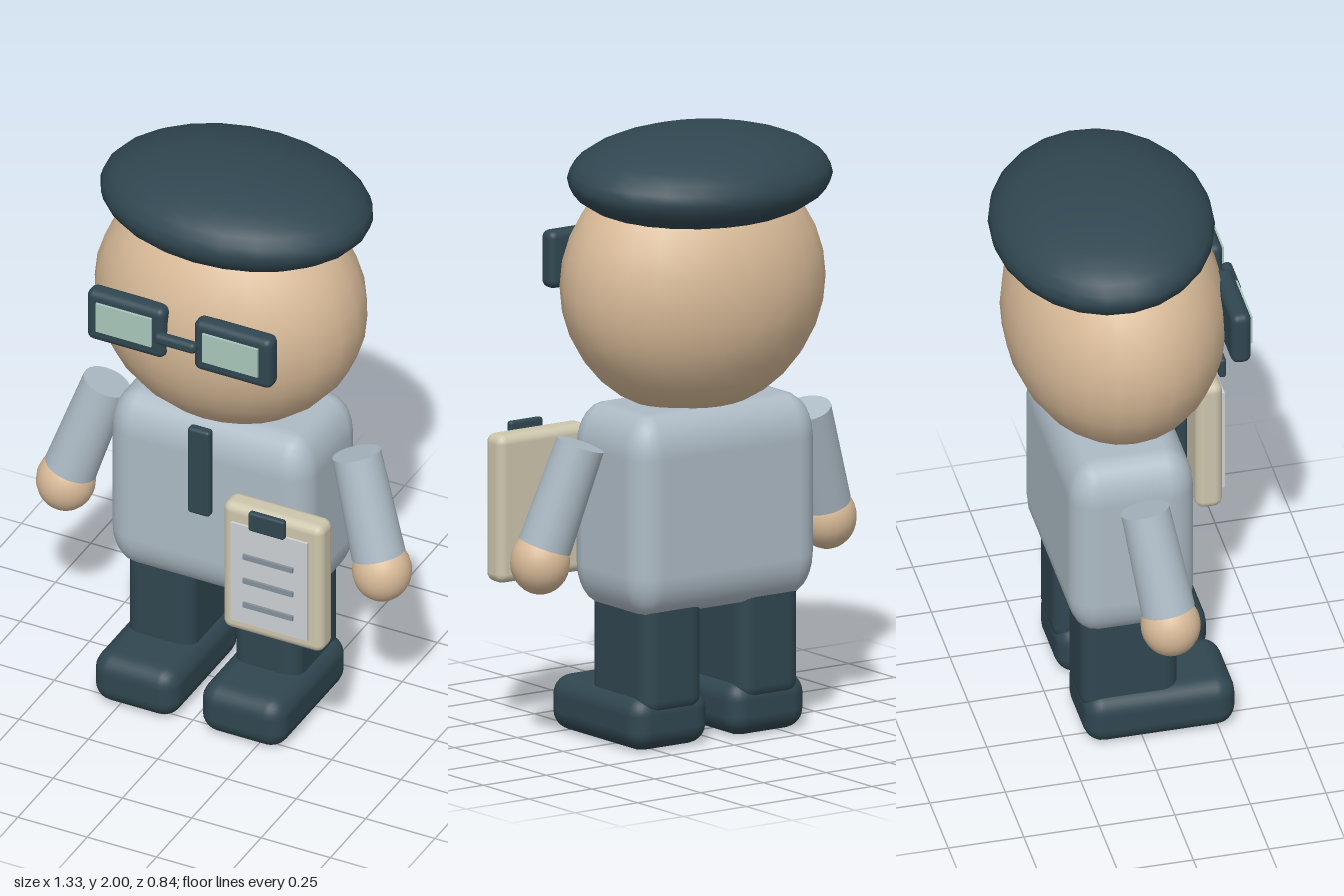
import * as THREE from 'three';
import { RoundedBoxGeometry } from 'three/addons/geometries/RoundedBoxGeometry.js';

const material = (name, color) => {
  const m = new THREE.MeshStandardMaterial({ color });
  m.name = name;
  return m;
};

export function createModel() {
  const navy = material('dark navy', 0x304650);
  const skin = material('skin', 0xd8ba98);
  const shirt = material('pale blue shirt', 0xadbbc5);
  const tan = material('board tan', 0xcdc6ad);
  const paperMat = material('paper', 0xcdd1d3);
  const lensMat = material('lens green', 0xa9c7ba);
  const ink = material('ink grey', 0x84929c);

  const model = new THREE.Group();
  model.name = 'figure';

  const add = (name, geometry, mat, x, y, z, parent = model) => {
    const mesh = new THREE.Mesh(geometry, mat);
    mesh.name = name;
    mesh.position.set(x, y, z);
    parent.add(mesh);
    return mesh;
  };
  // Rounded box given by its size, radius and centre
  const block = (name, mat, [w, h, d], r, [x, y, z], parent) =>
    add(name, new RoundedBoxGeometry(w, h, d, 3, r), mat, x, y, z, parent);
  const ellipsoid = (name, mat, [rx, ry, rz], [x, y, z], parent) =>
    add(name, new THREE.SphereGeometry(1, 24, 16).scale(rx, ry, rz), mat, x, y, z, parent);

  // Head and tilted beret
  ellipsoid('head', skin, [0.46, 0.43, 0.36], [0, 1.49, -0.02]);
  ellipsoid('beret', navy, [0.46, 0.155, 0.36], [0, 1.845, -0.06]).rotation.x = -0.06;

  // Torso, with corners stretched upwards
  block('torso', shirt, [0.73, 0.45, 0.415], 0.095, [0, 0.775, -0.032]).scale.y = 1.49;
  block('tie', navy, [0.08, 0.33, 0.036], 0.012, [0, 0.94, 0.198]);

  // Glasses
  const glasses = new THREE.Group();
  glasses.name = 'glasses';
  model.add(glasses);
  block('bridge', navy, [0.15, 0.04, 0.036], 0.016, [0, 1.542, 0.37], glasses);

  for (const s of [-1, 1]) {
    const side = s > 0 ? 'left' : 'right';
    block(side + 'Frame', navy, [0.282, 0.19, 0.066], 0.025, [s * 0.193, 1.54, 0.325], glasses);
    add(side + 'Lens', new THREE.BoxGeometry(0.2, 0.108, 0.009), lensMat, s * 0.192, 1.548, 0.364, glasses);

    // Legs and shoes
    block(side + 'Leg', navy, [0.24, 0.5, 0.32], 0.055, [s * 0.192, 0.36, -0.035]);
    block(side + 'Shoe', navy, [0.304, 0.183, 0.5], 0.065, [s * 0.193, 0.092, 0.06]);

    // Sleeve running from shoulder to wrist, then the hand
    const shoulder = new THREE.Vector3(s * 0.45, 1.01, -0.025);
    const wrist = new THREE.Vector3(s * 0.555, 0.68, 0.025);
    const along = shoulder.clone().sub(wrist);
    const mid = shoulder.clone().add(wrist).multiplyScalar(0.5);
    const arm = add(side + 'Arm', new THREE.CylinderGeometry(0.08, 0.088, along.length(), 24), shirt, mid.x, mid.y, mid.z);
    arm.quaternion.setFromUnitVectors(new THREE.Vector3(0, 1, 0), along.normalize());
    ellipsoid(side + 'Hand', skin, [0.097, 0.105, 0.097], [s * 0.57, 0.628, 0.03]);
  }

  // Clipboard held in front
  const clipboard = new THREE.Group();
  clipboard.name = 'clipboard';
  model.add(clipboard);
  block('board', tan, [0.362, 0.488, 0.09], 0.03, [0.353, 0.742, 0.343], clipboard);
  add('paper', new THREE.BoxGeometry(0.276, 0.378, 0.009), paperMat, 0.35, 0.738, 0.396, clipboard);
  for (const y of [0.813, 0.72, 0.627]) {
    add('writtenLine', new THREE.BoxGeometry(0.18, 0.018, 0.009), ink, 0.35, y, 0.407, clipboard);
  }
  block('clip', navy, [0.13, 0.072, 0.024], 0.009, [0.351, 0.966, 0.413], clipboard);

  return model;
}
